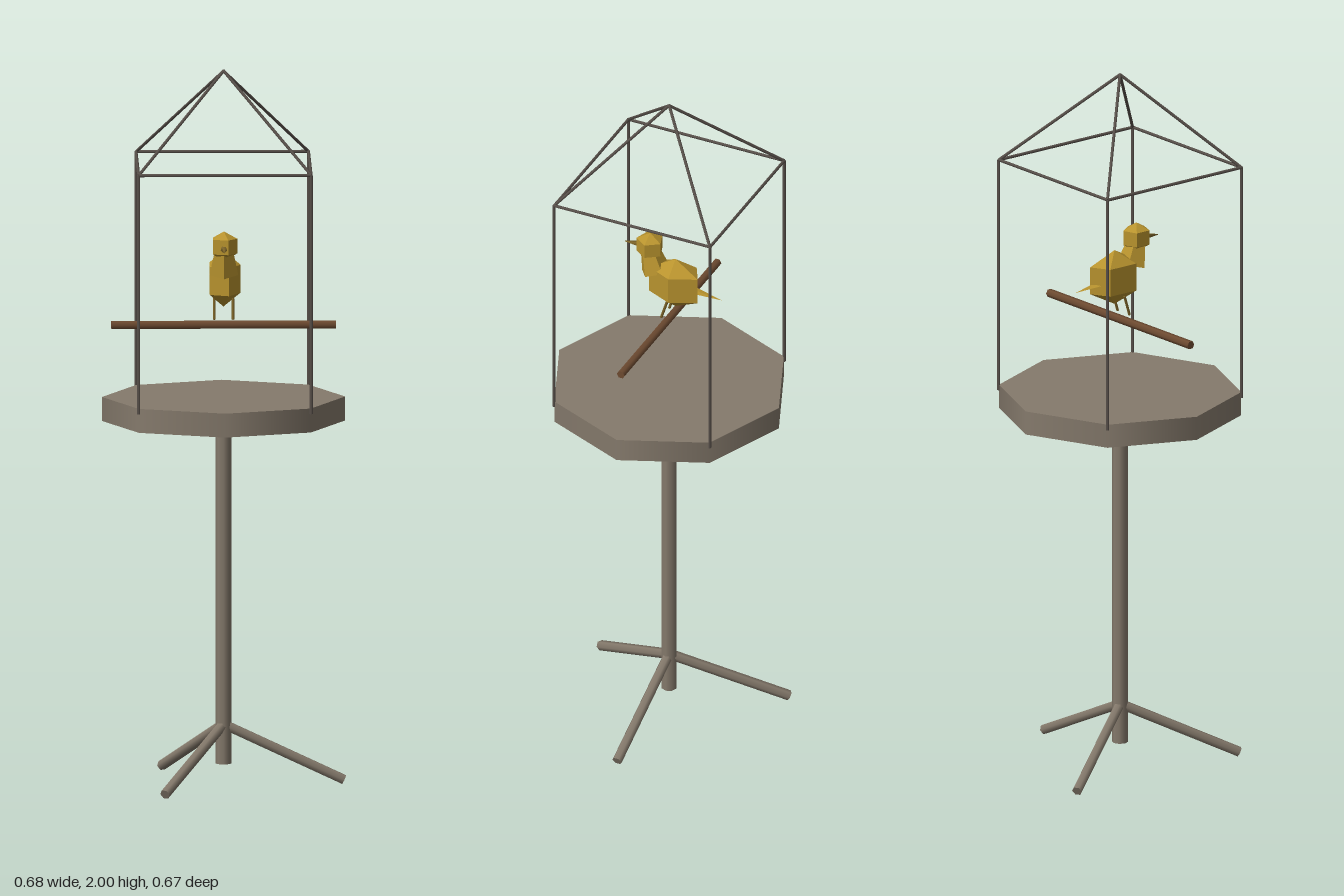
import * as THREE from 'three';

const mat = (color, flatShading = false) => new THREE.MeshStandardMaterial({ color, flatShading });
const V = (x, y, z) => new THREE.Vector3(x, y, z);

export function createModel() {
  const model = new THREE.Group();
  const stone = mat(0x857a6c), wire = mat(0x5a524c), wood = mat(0x6e4b31);
  const gold = mat(0xb8932e, true), dark = mat(0x7d6428);

  const add = (name, geometry, material, parent = model) => {
    const mesh = new THREE.Mesh(geometry, material);
    mesh.name = name;
    parent.add(mesh);
    return mesh;
  };
  // tapered rod from a (radius ra) to b (radius rb)
  const rod = (name, a, b, ra, rb, sides, material, parent) => {
    const dir = b.clone().sub(a);
    const mesh = add(name, new THREE.CylinderGeometry(rb, ra, dir.length(), sides), material, parent);
    mesh.position.copy(a).add(b).multiplyScalar(0.5);
    mesh.quaternion.setFromUnitVectors(V(0, 1, 0), dir.normalize());
    return mesh;
  };

  // stand: post, three feet and octagonal tray
  rod('post', V(0, 0.06, 0), V(0, 1.03, 0), 0.022, 0.022, 8, stone);
  for (let i = 0; i < 3; i++) {
    const a = (i * Math.PI * 2) / 3;
    rod('foot', V(0, 0.17, 0), V(0.334 * Math.cos(a), 0.014, 0.334 * Math.sin(a)), 0.0145, 0.0145, 6, stone);
  }
  add('tray', new THREE.CylinderGeometry(0.337, 0.337, 0.067, 8), stone).position.y = 1.052;

  // wire cage: uprights, top square and pyramid roof
  const s = 0.239, w = 0.0045;
  const corners = [[s, s], [-s, s], [-s, -s], [s, -s]];
  corners.forEach(([x, z], i) => {
    const [nx, nz] = corners[(i + 1) % 4];
    rod('upright', V(x, 1.07, z), V(x, 1.738, z), w, w, 5, wire);
    rod('topRail', V(x, 1.738, z), V(nx, 1.738, nz), w, w, 5, wire);
    rod('roofWire', V(x, 1.738, z), V(0, 1.997, 0), w, w, 5, wire);
  });

  rod('perch', V(-0.311, 1.287, 0), V(0.311, 1.287, 0), 0.012, 0.012, 6, wood);

  // bird
  const bird = new THREE.Group();
  bird.name = 'bird';
  model.add(bird);
  const blob = (name, rx, ry, rz, y, z) => {
    const mesh = add(name, new THREE.SphereGeometry(1, 5, 3).rotateY(Math.PI).scale(rx, ry, rz), gold, bird);
    mesh.position.set(0, y, z);
  };
  blob('body', 0.055, 0.078, 0.091, 1.413, -0.02);
  blob('head', 0.043, 0.041, 0.045, 1.515, 0.058);
  rod('neck', V(0, 1.437, 0.042), V(0, 1.5, 0.06), 0.042, 0.028, 5, gold, bird);
  rod('beak', V(0, 1.51, 0.088), V(0, 1.506, 0.135), 0.01, 0.001, 5, dark, bird);

  // flat pointed tail
  const tail = add('tail', new THREE.ConeGeometry(0.02, 0.105, 4).rotateX(-Math.PI / 2).scale(1, 0.12, 1), gold, bird);
  tail.position.set(0, 1.399, -0.11);
  tail.rotation.x = -0.1;

  for (const x of [-0.026, 0.026]) {
    rod('birdLeg', V(x, 1.36, -0.006), V(x, 1.303, 0.012), 0.004, 0.004, 5, dark, bird);
  }

  model.position.x = -0.002;
  return model;
}
